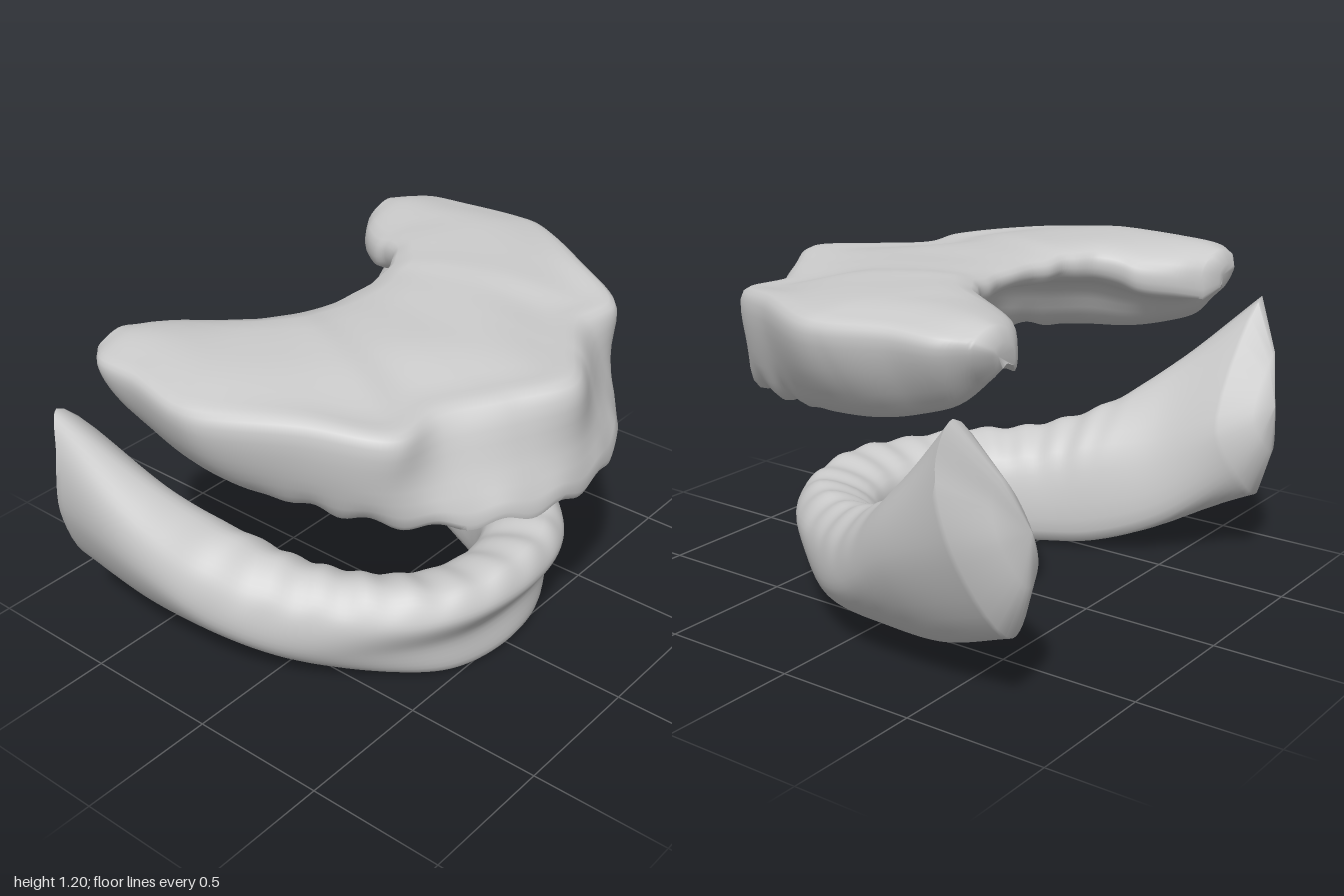
import * as THREE from 'three';
import { toCreasedNormals } from 'three/addons/utils/BufferGeometryUtils.js';

const V = (p) => new THREE.Vector3(...p);
const mix = (a, b, t) => a.map((v, i) => v + (b[i] - v) * t);
const flip = (p) => [-p[0], p[1], p[2]];

// Skin a mirrored arch: half is a list of section rings from the middle to the +x end
function archGeometry(half, endPoint, detail) {
  const rings = [...half.slice(1).reverse().map((r) => r.map(flip)), ...half];
  const rails = rings[0].map((_, j) =>
    new THREE.CatmullRomCurve3(rings.map((r) => V(r[j])), false, 'centripetal'));
  const spans = (rings.length - 1) * 14, around = 40;
  const rows = [];
  for (let i = 0; i <= spans; i++) {
    const section = new THREE.CatmullRomCurve3(
      rails.map((c) => c.getPoint(i / spans)), true, 'centripetal');
    rows.push(Array.from({ length: around }, (_, j) => detail(section.getPoint(j / around))));
  }
  // each end bulges back through one smaller ring before closing to a point
  const ends = [V(flip(endPoint)), V(endPoint)];
  const capRow = (row, end) => row.map((p) => {
    const q = p.clone().lerp(end, 0.5);
    q.z -= 0.025;
    return q;
  });
  rows.unshift(capRow(rows[0], ends[0]));
  rows.push(capRow(rows[rows.length - 1], ends[1]));

  const points = [...rows.flat(), ...ends];
  const last = rows.length - 1, c = points.length - 2;
  const id = (i, j) => i * around + (j % around);
  const index = [];
  for (let j = 0; j < around; j++) {
    for (let i = 0; i < last; i++) {
      index.push(id(i, j), id(i, j + 1), id(i + 1, j));
      index.push(id(i, j + 1), id(i + 1, j + 1), id(i + 1, j));
    }
    index.push(c, id(0, j + 1), id(0, j), c + 1, id(last, j), id(last, j + 1));
  }
  const g = new THREE.BufferGeometry();
  g.setAttribute('position', new THREE.Float32BufferAttribute(
    points.flatMap((p) => [p.x, Math.max(p.y, 0), p.z]), 3));
  g.setIndex(index);
  return toCreasedNormals(g, 1);
}

// Upper gum: each row is outer rim, lower ridge, inner palate edge
const upperRows = [
  [[0, 1.13, 0.74], [0, 0.75, 0.79], [0, 1.16, -0.18]],
  [[0.2, 1.12, 0.63], [0.21, 0.765, 0.765], [0.1, 1.16, -0.18]],
  [[0.4, 1.11, 0.51], [0.41, 0.775, 0.66], [0.18, 1.16, -0.2]],
  [[0.59, 1.11, 0.51], [0.57, 0.78, 0.47], [0.25, 1.17, -0.21]],
  [[0.75, 1.14, 0.26], [0.66, 0.79, 0.23], [0.3, 1.17, -0.24]],
  [[0.91, 1.14, -0.02], [0.73, 0.81, -0.01], [0.36, 1.17, -0.28]],
  [[0.92, 1.14, -0.12], [0.74, 0.83, -0.2], [0.4, 1.16, -0.35]],
  [[0.88, 1.15, -0.33], [0.74, 0.87, -0.36], [0.42, 1.14, -0.42]],
  [[0.86, 1.14, -0.51], [0.73, 0.92, -0.49], [0.5, 1.13, -0.53]],
  [[0.79, 1.13, -0.595], [0.7, 0.99, -0.565], [0.58, 1.12, -0.595]],
];

function upperRing([rim, ridge, edge], i) {
  const k = Math.min(1, i / 5), back = Math.max(0, (i - 5) / 4);
  const at = (p, y) => [p[0], y, p[2]];
  const wall = mix(rim, ridge, 0.5);
  wall[0] += 0.055 * k * (1 - 0.5 * back);
  const top = 1.17 + 0.03 * k - 0.03 * back ** 3;
  const lift = 0.25 + 0.2 * Math.min(2, Math.max(0, i - 3));
  return [
    rim, wall, ridge,
    at(mix(ridge, edge, 0.2 + 0.1 * back), ridge[1] + 0.04 - 0.03 * back), // inner side of the ridge
    at(mix(ridge, edge, 0.45 + 0.15 * back), ridge[1] + (1.08 - ridge[1]) * (0.7 - 0.3 * back)), // vault
    at(edge, edge[1] - 0.05 - 0.03 * k - 0.03 * back),
    edge,
    at(mix(edge, rim, 0.47), top),                   // flat top
    at(mix(edge, rim, 0.82), rim[1] + (top - rim[1]) * lift),
  ];
}

// Lower gum: crest, lip, pinch, outer bottom, inner bottom, inner wall
const lowerRows = [
  [[0, 0.38, 0.55], [0, 0.29, 0.61], [0, 0.16, 0.535], [0, 0.01, 0.53], [0, 0.03, 0.36], [0, 0.3, 0.33]],
  [[0.24, 0.37, 0.5], [0.28, 0.29, 0.555], [0.26, 0.16, 0.5], [0.24, 0.01, 0.48], [0.18, 0.02, 0.32], [0.17, 0.3, 0.29]],
  [[0.41, 0.39, 0.35], [0.48, 0.29, 0.41], [0.47, 0.16, 0.37], [0.41, 0.03, 0.35], [0.3, 0.02, 0.18], [0.31, 0.3, 0.17]],
  [[0.55, 0.42, 0.1], [0.65, 0.33, 0.16], [0.68, 0.17, 0.13], [0.57, 0.05, 0.1], [0.4, 0.02, -0.02], [0.42, 0.33, 0]],
  [[0.66, 0.52, -0.15], [0.8, 0.42, -0.1], [0.82, 0.25, -0.1], [0.67, 0.09, -0.15], [0.48, 0.04, -0.22], [0.5, 0.38, -0.2]],
  [[0.8, 0.7, -0.38], [0.92, 0.6, -0.34], [0.93, 0.42, -0.35], [0.73, 0.13, -0.43], [0.57, 0.14, -0.46], [0.58, 0.42, -0.42]],
  [[0.95, 0.96, -0.64], [0.995, 0.83, -0.61], [0.97, 0.55, -0.66], [0.79, 0.25, -0.74], [0.67, 0.35, -0.72], [0.63, 0.53, -0.65]],
];

// Scallops left between the tooth sockets
const scallop = (p) => Math.cos(Math.atan2(Math.abs(p.x), p.z + 0.2) * 28);
const ease = THREE.MathUtils.smoothstep;

export function createModel() {
  const group = new THREE.Group();
  const material = new THREE.MeshStandardMaterial({ color: 0xcccccc });
  const add = (name, geometry) => {
    const mesh = new THREE.Mesh(geometry, material);
    mesh.name = name;
    group.add(mesh);
  };
  add('upperGum', archGeometry(upperRows.map(upperRing), [0.69, 1.08, -0.61], (p) => {
    p.y -= 0.014 * (1 - ease(p.y, 0.78, 0.9)) * ease(p.z, 0, 0.3) * scallop(p);
    return p;
  }));
  add('lowerGum', archGeometry(lowerRows, [0.78, 0.6, -0.8], (p) => {
    p.y -= 0.006 * ease(p.y, 0.28, 0.37) * ease(p.z, -0.3, -0.1) * scallop(p);
    return p;
  }));
  return group;
}
